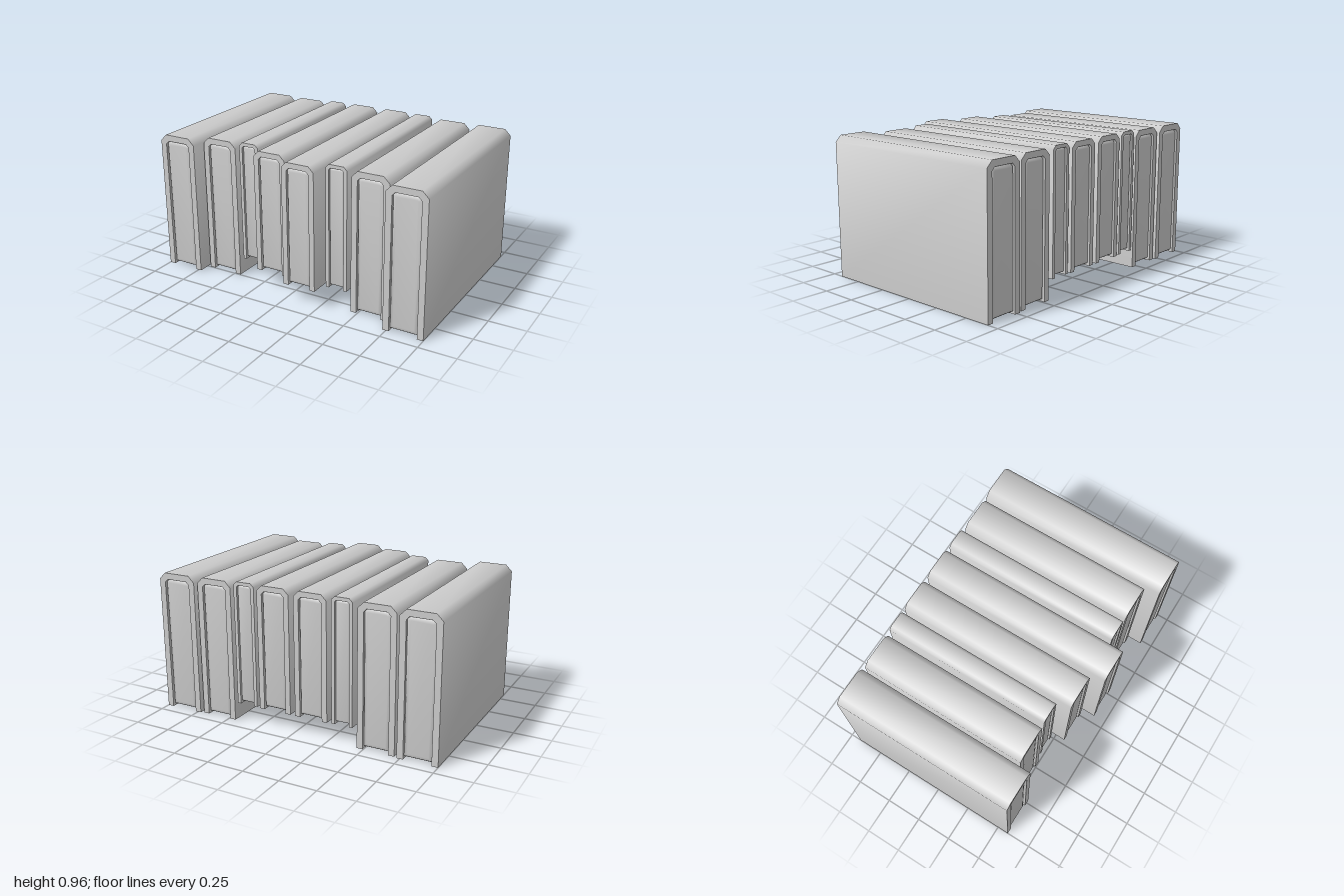
import * as THREE from 'three';
import { toCreasedNormals } from 'three/addons/utils/BufferGeometryUtils.js';

const material = new THREE.MeshStandardMaterial({ color: 0xcccccc });

// Each block: left edge, right edge, bottom, top, back end, front end, frame thickness
const blocks = [
  [-1.0, -0.73, 0, 0.95, -0.675, 0.58, 0.042],
  [-0.71, -0.455, 0, 0.95, -0.665, 0.495, 0.04],
  [-0.425, -0.28, 0.13, 0.96, -0.67, 0.49, 0.023],
  [-0.25, -0.02, 0.13, 0.96, -0.675, 0.58, 0.036],
  [0.015, 0.245, 0.13, 0.96, -0.675, 0.67, 0.036],
  [0.27, 0.42, 0.13, 0.96, -0.67, 0.57, 0.023],
  [0.45, 0.705, 0, 0.95, -0.665, 0.57, 0.04],
  [0.727, 1.0, 0, 0.95, -0.675, 0.67, 0.042],
];

// Outline with chamfered top corners, from bottom left over the top to bottom right
function arch(x0, x1, y0, y1, c) {
  return [
    [x0, y0], [x0, y1 - c], [x0 + c, y1],
    [x1 - c, y1], [x1, y1 - c], [x1, y0],
  ].map(([x, y]) => new THREE.Vector2(x, y));
}

function extrude(points, z0, z1, bevel, name) {
  const geometry = new THREE.ExtrudeGeometry(new THREE.Shape(points), {
    depth: z1 - z0 - 2 * bevel.depth,
    bevelEnabled: bevel.depth > 0,
    bevelThickness: bevel.depth,
    bevelSize: bevel.size,
    bevelOffset: -bevel.size,
    bevelSegments: 2,
  });
  geometry.translate(0, 0, z0 + bevel.depth);
  const mesh = new THREE.Mesh(toCreasedNormals(geometry, 0.9), material);
  mesh.name = name;
  return mesh;
}

export function createModel() {
  const model = new THREE.Group();
  model.name = 'blockRow';

  blocks.forEach(([x0, x1, y0, y1, z0, z1, t], i) => {
    const block = new THREE.Group();
    block.name = `block${i + 1}`;

    // Shell with two side walls and a chamfered top
    const outer = arch(x0, x1, y0, y1, t);
    const inner = arch(x0 + t, x1 - t, y0, y1 - t, t * 0.5);
    block.add(extrude([...outer, ...inner.reverse()], z0, z1, { depth: 0, size: 0 }, 'shell'));

    // Core filling the shell, raised off the ground and slightly recessed at both ends
    const core = arch(x0 + t, x1 - t, y0 + 0.017, y1 - t, t * 0.5);
    block.add(extrude(core, z0 + 0.008, z1 - 0.008, { depth: 0.012, size: t * 0.6 }, 'core'));

    model.add(block);
  });

  return model;
}
